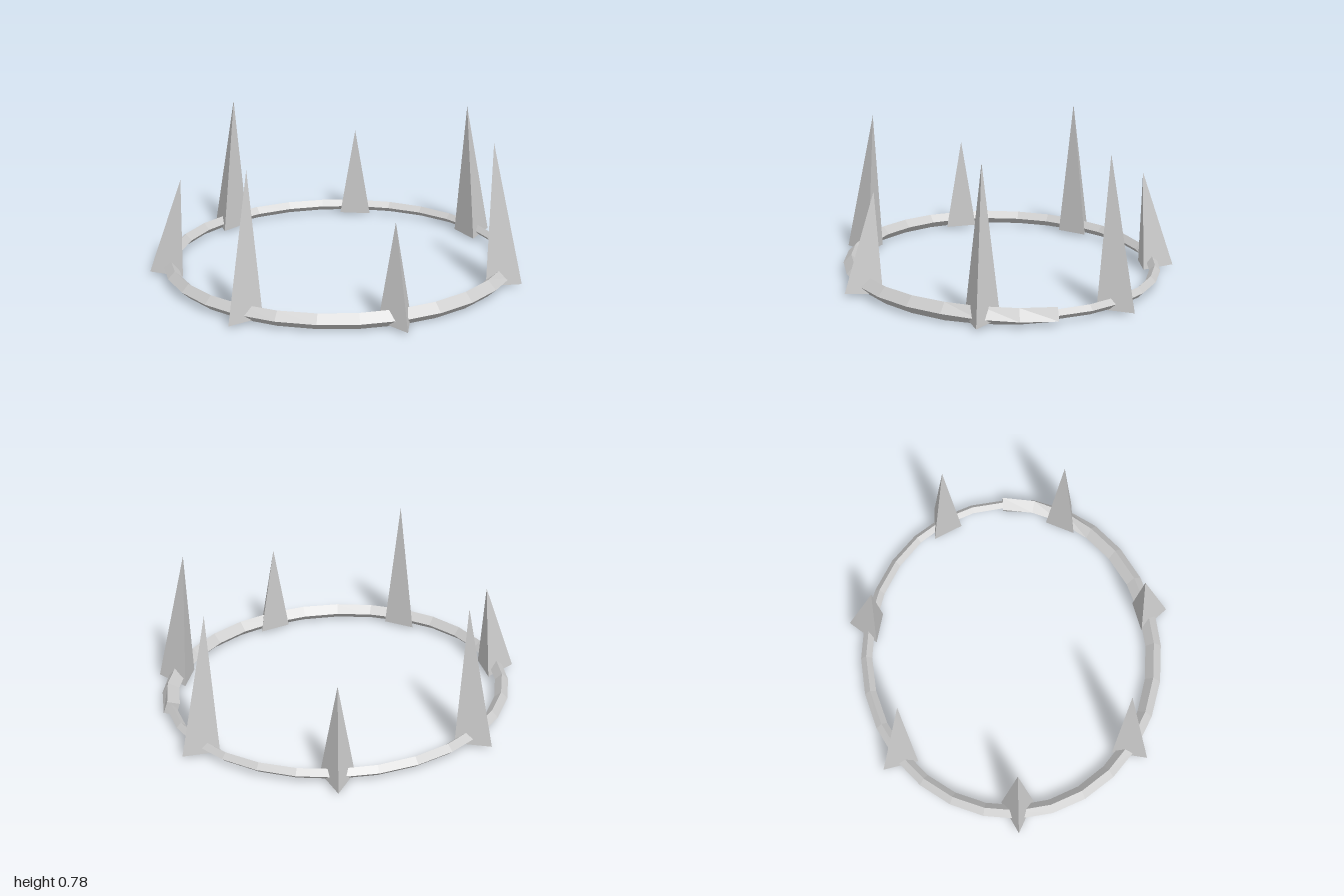
import * as THREE from 'three';

const CX = 0.03; // ring centre in x
const onEllipse = (t, rx, rz, y) => new THREE.Vector3(CX + rx * Math.cos(t), y, rz * Math.sin(t));

function meshFromTriangles(name, points, material) {
  const geometry = new THREE.BufferGeometry().setFromPoints(points);
  geometry.computeVertexNormals();
  const mesh = new THREE.Mesh(geometry, material);
  mesh.name = name;
  return mesh;
}

// Four-sided band around an ellipse, tapering from its thick end to its thin end
function bandPoints() {
  const segments = 28, sides = 4, rings = [], points = [];
  for (let i = 0; i <= segments; i++) {
    const f = i / segments, t = f * Math.PI * 2;
    const r = THREE.MathUtils.lerp(0.05, 0.025, f);
    const twist = -0.45 * Math.max(0, 1 - i / 3);
    const ring = [];
    for (let j = 0; j < sides; j++) {
      const a = (j / sides) * Math.PI * 2 + twist;
      const out = r * Math.cos(a);
      ring.push(onEllipse(t, 0.92 + out, 0.81 + out, 0.053 + r * Math.sin(a)));
    }
    rings.push(ring);
  }
  for (let i = 0; i < segments; i++) {
    for (let j = 0; j < sides; j++) {
      const k = (j + 1) % sides;
      const a = rings[i][j], b = rings[i][k], c = rings[i + 1][k], d = rings[i + 1][j];
      points.push(a, b, c, a, c, d);
    }
  }
  // End caps
  const s = rings[0], e = rings[segments];
  points.push(s[0], s[2], s[1], s[0], s[3], s[2], e[0], e[1], e[2], e[0], e[2], e[3]);
  return points;
}

// Three-sided spike: one corner outward, tip above the inner edge
function spikePoints(t, height) {
  const base = 0.02;
  const outer = onEllipse(t, 1.03, 0.93, base);
  const inner = onEllipse(t, 0.855, 0.755, base);
  const along = new THREE.Vector3(-Math.sin(t), 0, Math.cos(t)).multiplyScalar(0.088);
  const left = inner.clone().add(along), right = inner.clone().sub(along);
  const tip = onEllipse(t, 0.847, 0.755, height);
  return [outer, tip, left, outer, right, tip, right, left, tip, outer, left, right];
}

export function createModel() {
  const group = new THREE.Group();
  group.name = 'spikedCirclet';
  const material = new THREE.MeshStandardMaterial({
    color: 0xcccccc, flatShading: true, side: THREE.DoubleSide,
  });
  group.add(meshFromTriangles('band', bandPoints(), material));

  // Tall and short spikes alternate from each side of the open end
  const heights = [0.79, 0.54, 0.79, 0.54, 0.79, 0.54, 0.79];
  heights.forEach((h, i) => {
    const t = ((i + 0.5) / heights.length) * Math.PI * 2;
    group.add(meshFromTriangles(`spike${i + 1}`, spikePoints(t, h), material));
  });
  return group;
}
